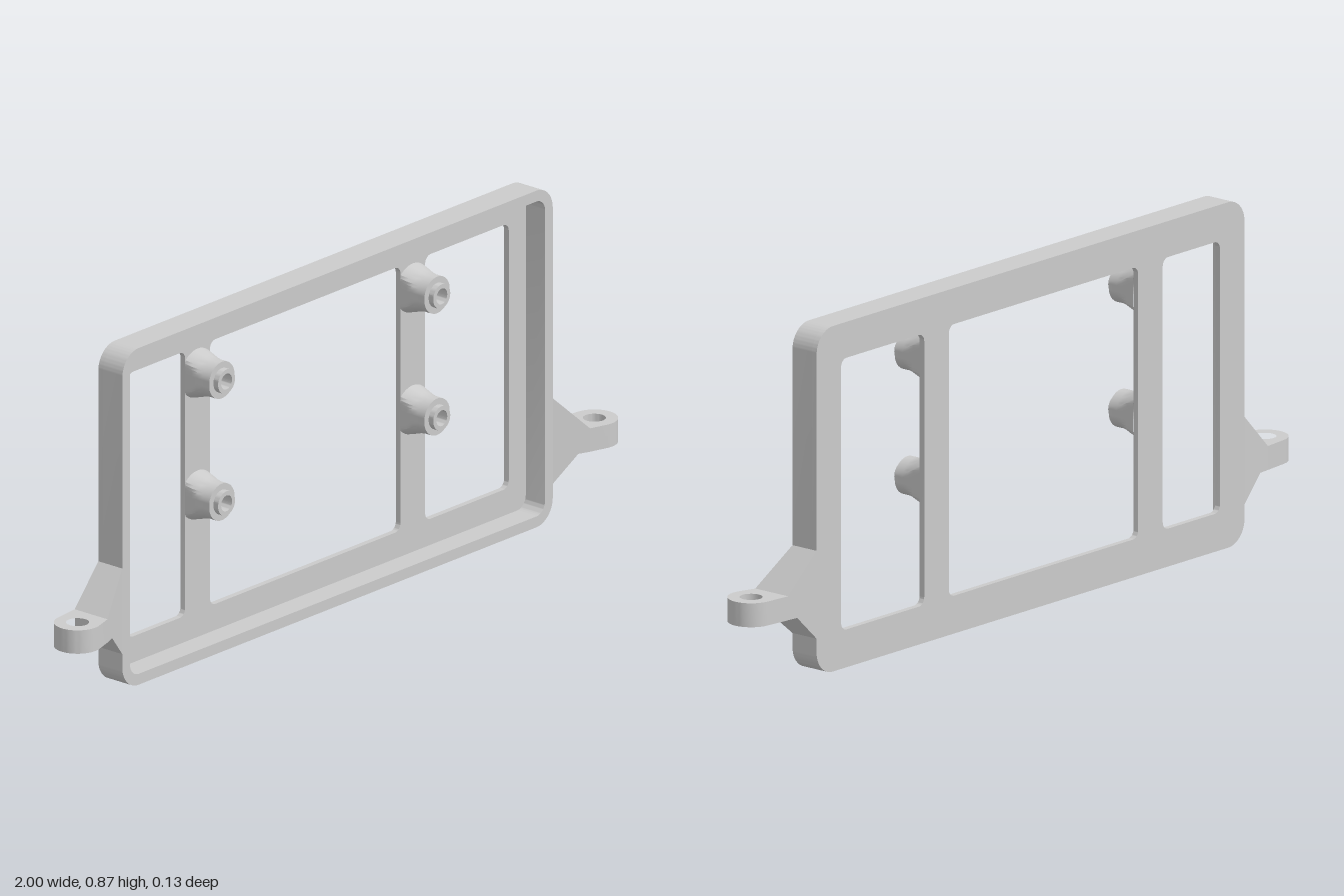
import * as THREE from 'three';
import { toCreasedNormals } from 'three/addons/utils/BufferGeometryUtils.js';

const BACK = -0.065, FLOOR = -0.05, FRONT = 0.012;
const material = new THREE.MeshStandardMaterial({ color: 0xcccccc });

function addMesh(parent, name, geometry) {
  const mesh = new THREE.Mesh(toCreasedNormals(geometry, 0.5), material);
  mesh.name = name;
  parent.add(mesh);
  return mesh;
}

// Rounded rectangle given by its edges
function roundedRect(x0, x1, y0, y1, r, Type = THREE.Shape) {
  const s = new Type();
  s.absarc(x1 - r, y0 + r, r, -Math.PI / 2, 0);
  s.absarc(x1 - r, y1 - r, r, 0, Math.PI / 2);
  s.absarc(x0 + r, y1 - r, r, Math.PI / 2, Math.PI);
  s.absarc(x0 + r, y0 + r, r, Math.PI, Math.PI * 1.5);
  s.closePath();
  return s;
}

function extrude(shape, depth) {
  return new THREE.ExtrudeGeometry(shape, { depth, bevelEnabled: false, curveSegments: 10 });
}

// Hollow standoff; its flared foot is trimmed to the width of the bar
function standoffGeometry() {
  const profile = [
    [0.062, FLOOR], [0.056, -0.03], [0.05, -0.012], [0.047, 0.004], [0.047, 0.028],
    [0.031, 0.028], [0.031, 0.043], [0.02, 0.043], [0.02, -0.03], [0, -0.03],
  ].map(([r, h]) => new THREE.Vector2(r, h));
  const g = new THREE.LatheGeometry(profile, 40);
  g.rotateX(Math.PI / 2);
  const p = g.attributes.position;
  for (let i = 0; i < p.count; i++) {
    p.setX(i, THREE.MathUtils.clamp(p.getX(i), -0.046, 0.046));
  }
  return g;
}

// Side bracket: a tapering gusset and a flat eyelet; side is +1 or -1
function createBracket(side) {
  const bracket = new THREE.Group();
  bracket.name = side > 0 ? 'leftBracket' : 'rightBracket';
  const point = ([x, y]) => new THREE.Vector2(side * x, y);

  // Gusset outline seen from the front, then sheared forward as it leaves the frame
  const outline = [[0.785, 0.095], [0.85, 0.16], [0.88, 0.16], [0.88, 0.22], [0.785, 0.315]];
  const gusset = extrude(new THREE.Shape(outline.map(point)), 1);
  const p = gusset.attributes.position;
  for (let i = 0; i < p.count; i++) {
    const out = Math.abs(p.getX(i)) - 0.785;
    p.setZ(i, p.getZ(i) > 0.5 ? FRONT + 0.38 * out : BACK + 0.084 * out);
  }
  addMesh(bracket, 'gusset', gusset);

  // Eyelet outline seen from above
  const cx = 0.9425, cz = 0.007, r = 0.0575;
  const rim = [[0.88, -0.057]];
  for (let i = 0; i <= 24; i++) {
    const a = THREE.MathUtils.degToRad(-85.2 + (196 * i) / 24);
    rim.push([cx + r * Math.cos(a), cz + r * Math.sin(a)]);
  }
  rim.push([0.88, 0.048]);
  const shape = new THREE.Shape(rim.map(point));
  const hole = new THREE.Path();
  hole.absarc(side * cx, cz, 0.028, 0, Math.PI * 2, true);
  shape.holes.push(hole);
  const eyelet = extrude(shape, 0.06);
  eyelet.rotateX(Math.PI / 2);
  eyelet.translate(0, 0.22, 0);
  addMesh(bracket, 'eyelet', eyelet);
  return bracket;
}

export function createModel() {
  const model = new THREE.Group();
  model.name = 'mountingFrame';

  // Back plate with three windows, leaving two upright bars
  const plate = roundedRect(-0.785, 0.785, 0, 0.865, 0.06);
  for (const [x0, x1] of [[-0.695, -0.485], [-0.395, 0.3], [0.39, 0.695]]) {
    plate.holes.push(roundedRect(x0, x1, 0.095, 0.775, 0.02, THREE.Path));
  }
  addMesh(model, 'backPlate', extrude(plate, FLOOR - BACK)).position.z = BACK;

  // Raised rim around the plate
  const rim = roundedRect(-0.785, 0.785, 0, 0.865, 0.06);
  rim.holes.push(roundedRect(-0.757, 0.757, 0.028, 0.837, 0.032, THREE.Path));
  addMesh(model, 'rim', extrude(rim, FRONT - FLOOR)).position.z = FLOOR;

  // Two standoffs on each bar
  for (const x of [-0.44, 0.345]) {
    for (const y of [0.394, 0.707]) {
      addMesh(model, 'standoff', standoffGeometry()).position.set(x, y, 0);
    }
  }

  model.add(createBracket(1), createBracket(-1));
  return model;
}
